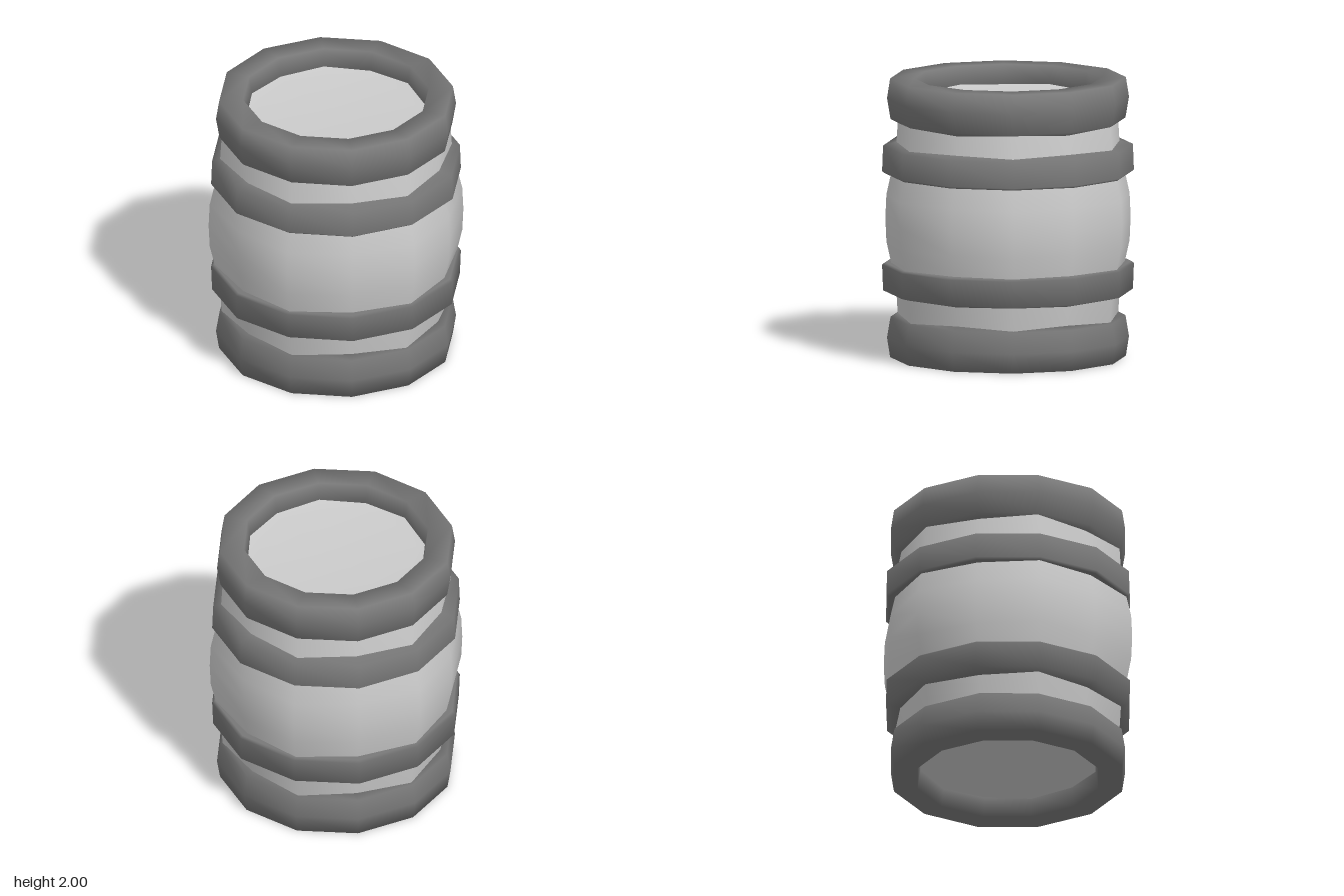
import * as THREE from 'three';
import { mergeVertices } from 'three/addons/utils/BufferGeometryUtils.js';

const SIDES = 12;
const bodyMat = new THREE.MeshStandardMaterial({ color: 0xcccccc });
const hoopMat = new THREE.MeshStandardMaterial({ color: 0x777777 });

// Mirror a profile about mid height, keeping its upward winding
const flip = (profile) => profile.map(([r, y]) => [r, 2 - y]).reverse();

// Twelve-sided turned part with welded, smooth normals.
// 'dent' scales every other column of vertices, giving uneven staves.
function turned(name, profile, material, dent = 1) {
  let geo = new THREE.LatheGeometry(profile.map(([r, y]) => new THREE.Vector2(r, y)), SIDES);
  const pos = geo.attributes.position;
  for (let i = 0; i < pos.count; i++) {
    const column = Math.floor(i / profile.length);
    const k = column % 2 === 0 ? dent : 1;
    // columns 0, 2, 4... lie at 0, 60, 120 degrees from +z
    pos.setX(i, pos.getX(i) * k);
    pos.setZ(i, pos.getZ(i) * k);
  }
  geo.deleteAttribute('uv');
  geo.deleteAttribute('normal');
  geo = mergeVertices(geo, 1e-4);
  geo.computeVertexNormals();
  const mesh = new THREE.Mesh(geo, material);
  mesh.name = name;
  return mesh;
}

export function createModel() {
  const group = new THREE.Group();
  group.name = 'barrel';

  // Bulging body with recessed lids at both ends
  const upper = [
    [0.905, 1.17], [0.87, 1.32], [0.83, 1.54], [0.82, 1.7], [0.78, 1.87],
    [0.68, 1.87], [0.59, 1.84], [0, 1.84],
  ];
  group.add(turned('body', [...flip(upper), [0.913, 1], ...upper], bodyMat, 0.955));

  // Thick end rims, closed in section
  const rim = [
    [0.64, 1.84], [0.78, 1.68], [0.835, 1.71], [0.86, 1.86], [0.838, 2],
    [0.665, 2], [0.64, 1.84],
  ];
  group.add(turned('topRim', rim, hoopMat));
  group.add(turned('bottomRim', flip(rim), hoopMat));

  // Hoops around the body
  const hoop = [
    [0.76, 1.32], [0.875, 1.32], [0.895, 1.335], [0.888, 1.52], [0.79, 1.545], [0.74, 1.545],
  ];
  group.add(turned('upperHoop', hoop, hoopMat));
  group.add(turned('lowerHoop', flip(hoop), hoopMat));

  return group;
}
